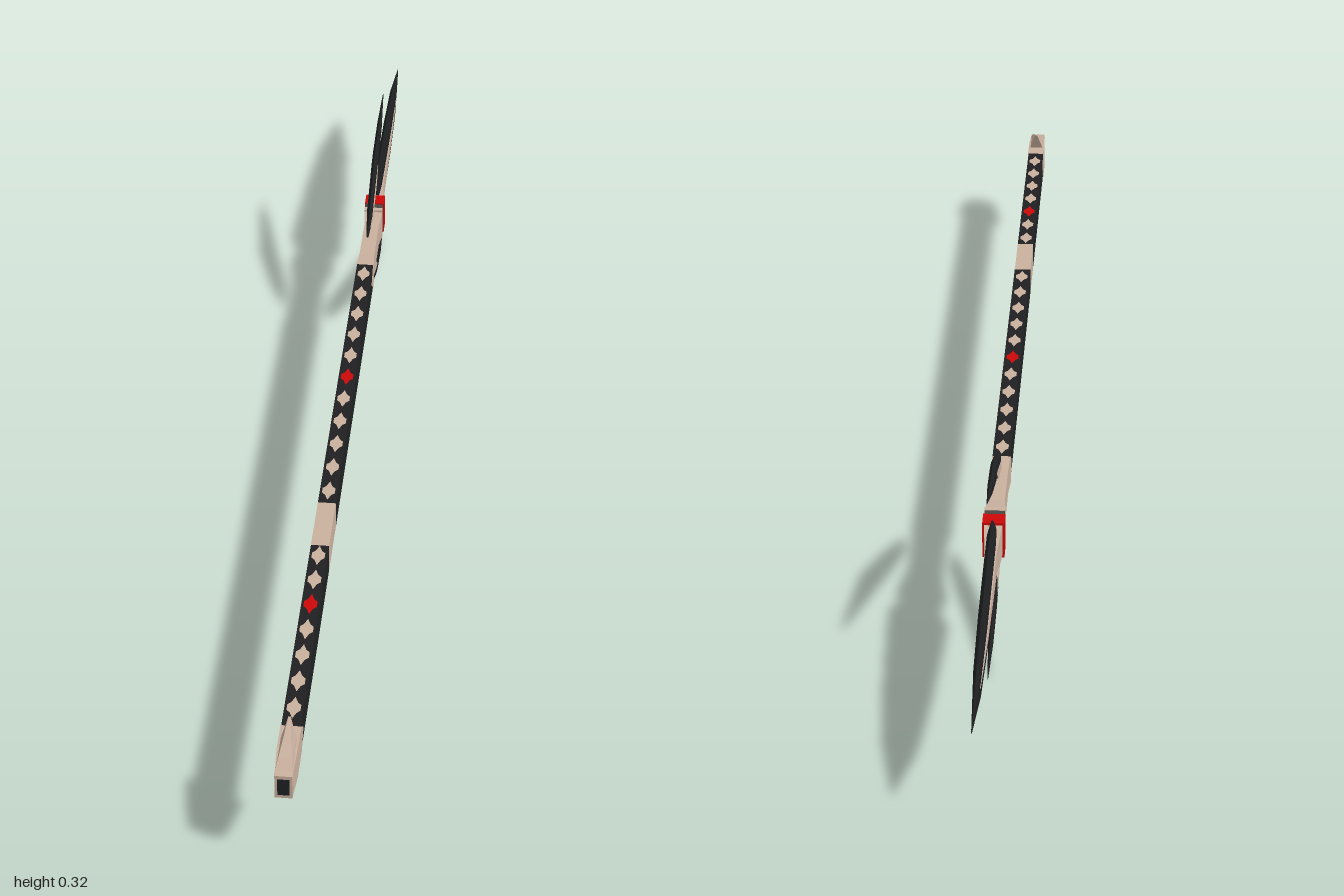
import * as THREE from 'three';

const CY = 0.1635; // height of the spear's axis

const paint = (name, color) => {
  const m = new THREE.MeshStandardMaterial({ color });
  m.name = name;
  return m;
};

// Closed faceted solid through rings of [x, y, z] points, y measured from the axis
function loft(rings) {
  const n = rings[0].length;
  let tris = [];
  for (let i = 0; i < rings.length - 1; i++) {
    for (let j = 0; j < n; j++) {
      const k = (j + 1) % n;
      const [a, b, c, d] = [rings[i][j], rings[i][k], rings[i + 1][k], rings[i + 1][j]];
      tris.push([a, b, c], [a, c, d]);
    }
  }
  const last = rings[rings.length - 1];
  for (let j = 1; j < n - 1; j++) {
    tris.push([rings[0][0], rings[0][j + 1], rings[0][j]], [last[0], last[j], last[j + 1]]);
  }
  // Keep faces outward whichever way the rings run
  const v = p => new THREE.Vector3(...p);
  const volume = tris.reduce((s, [a, b, c]) => s + v(a).dot(v(b).cross(v(c))), 0);
  if (volume < 0) tris = tris.map(([a, b, c]) => [a, c, b]);
  const geo = new THREE.BufferGeometry();
  geo.setAttribute('position', new THREE.Float32BufferAttribute(tris.flat(2), 3));
  geo.computeVertexNormals();
  return geo;
}

// Rectangular section at z
const rect = (z, w, h) => [[-w, -h, z], [w, -h, z], [w, h, z], [-w, h, z]];

// Flat section with sharpened upper and lower edges, sign mirrors it in y
const edged = (z, lo, hi, t, bevel = 0.25, sign = 1) => {
  const b = (hi - lo) * bevel;
  return [[0, lo, z], [t, lo + b, z], [t, hi - b, z], [0, hi, z], [-t, hi - b, z], [-t, lo + b, z]]
    .map(([x, y, zz]) => [x, y * sign, zz]);
};

export function createModel() {
  const black = paint('black', 0x1f2022);
  const tan = paint('tan', 0xc9b09e);
  const red = paint('red', 0xcc0808);
  const grey = paint('dark grey', 0x4a4642);

  const spear = new THREE.Group();
  spear.name = 'spear';
  const add = (name, geo, mat) => {
    const mesh = new THREE.Mesh(geo, mat);
    mesh.name = name;
    mesh.position.y = CY;
    spear.add(mesh);
    return mesh;
  };

  // Shaft and middle band
  const W = 0.0145, H = 0.025;
  add('rearShaft', loft([rect(0.91, W, H), rect(0.495, W, H)]), black);
  add('middleBand', loft([rect(0.495, W, H), rect(0.39, W, H)]), tan);
  add('frontShaft', loft([rect(0.39, W, H), rect(-0.28, W, H)]), black);

  // Diamond inlays along the top and bottom, one red in each row
  const diamond = new THREE.Shape();
  [[0, 0.023], [0.005, 0.011], [0.0105, 0.006], [0.0105, -0.006], [0.005, -0.011],
    [0, -0.023], [-0.005, -0.011], [-0.0105, -0.006], [-0.0105, 0.006], [-0.005, 0.011]]
    .forEach(([x, y], i) => (i ? diamond.lineTo(x, y) : diamond.moveTo(x, y)));
  const inlay = new THREE.ShapeGeometry(diamond);
  const rows = [
    { start: -0.25, step: 0.061, count: 11, redAt: 5 },
    { start: 0.52, step: 0.057, count: 7, redAt: 2 },
  ];
  for (const { start, step, count, redAt } of rows) {
    for (let i = 0; i < count; i++) {
      for (const s of [1, -1]) {
        const m = add('inlay', inlay, i === redAt ? red : tan);
        m.rotation.x = -s * Math.PI / 2;
        m.position.set(0, CY + s * (H + 0.0008), start + i * step);
      }
    }
  }

  // Socket, with points reaching back along the sides of the shaft
  add('socket', loft([
    rect(-0.25, W + 0.001, 0.0005), rect(-0.28, W + 0.001, H + 0.0005), rect(-0.315, 0.0135, 0.022),
    rect(-0.41, 0.0135, 0.022), rect(-0.44, 0.016, 0.026), rect(-0.45, 0.016, 0.028),
  ]), tan);

  // Collar
  add('collarRim', loft([rect(-0.446, 0.0165, 0.031), rect(-0.455, 0.0165, 0.031)]), tan);
  add('collarBand', loft([rect(-0.455, 0.016, 0.030), rect(-0.47, 0.016, 0.030)]), grey);
  add('collarRing', loft([rect(-0.468, 0.0175, 0.032), rect(-0.495, 0.0175, 0.032)]), red);

  // Main blade: two shoulders swept back beside a tan spine
  add('blade', loft([
    [-0.505, 0.022, 0.0055], [-0.5, 0.04, 0.006], [-0.54, 0.065, 0.007], [-0.6, 0.063, 0.007],
    [-0.75, 0.052, 0.007], [-0.88, 0.038, 0.0055], [-1, 0.0005, 0.0005],
  ].map(([z, h, t]) => edged(z, -h, h, t, 0.2))), black);
  add('bladeSpine', loft([
    rect(-0.49, 0.0145, 0.028), rect(-0.51, 0.0135, 0.027), rect(-0.56, 0.0095, 0.021),
    rect(-0.75, 0.0085, 0.010), rect(-0.89, 0.006, 0.001),
  ]), tan);

  // Side prongs, above and below the socket
  for (const s of [1, -1]) {
    add('prong', loft([
      [-0.325, 0.053, 0.057, 0.002], [-0.37, 0.054, 0.09, 0.005], [-0.463, 0.086, 0.137, 0.005],
      [-0.49, 0.097, 0.143, 0.005], [-0.57, 0.128, 0.153, 0.004], [-0.645, 0.161, 0.1615, 0.0005],
    ].map(([z, lo, hi, t]) => edged(z, lo, hi, t, 0.25, s))), black);
    add('prongInlay', loft([
      [-0.345, 0.057, 0.06, 0.0045], [-0.375, 0.059, 0.075, 0.006],
      [-0.45, 0.085, 0.105, 0.006], [-0.48, 0.112, 0.114, 0.0055],
    ].map(([z, lo, hi, t]) => edged(z, lo, hi, t, 0.1, s))), tan);
  }

  // Pommel with a pointed front, dark end and two hooks
  add('pommel', loft([
    rect(0.875, W + 0.001, 0.0005), rect(0.9, W + 0.001, H + 0.0005),
    rect(0.95, 0.0155, 0.0265), rect(1, 0.013, 0.022),
  ]), tan);
  const end = add('pommelEnd', new THREE.PlaneGeometry(0.018, 0.032), black);
  end.position.z = 1.0005;
  for (const s of [1, -1]) {
    add('pommelHook', loft([
      [0.018, 0.997, 0.93, 0.014], [0.032, 0.975, 0.925, 0.0105],
      [0.045, 0.948, 0.92, 0.006], [0.058, 0.918, 0.914, 0.002],
    ].map(([y, z1, z0, w]) => [[-w, s * y, z0], [w, s * y, z0], [w, s * y, z1], [-w, s * y, z1]])), tan);
  }

  return spear;
}
